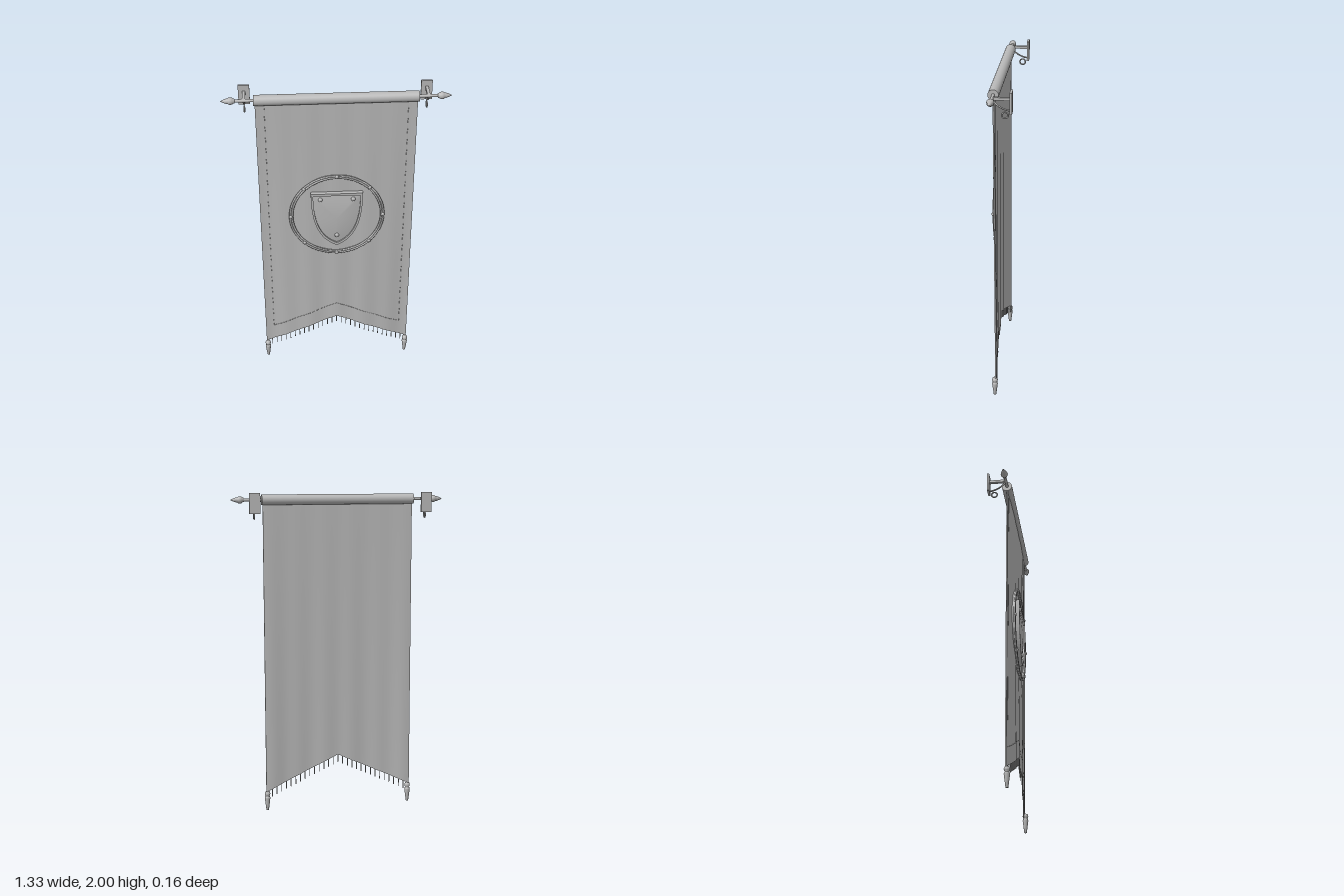
import * as THREE from 'three';

const HALF = 0.468, TOP = 1.95, ROD_Y = 1.957, ROD_Z = 0.031;

export function createModel() {
  const model = new THREE.Group();
  model.name = 'hangingBanner';
  const grey = new THREE.MeshStandardMaterial({ color: 0xb8b8b8 });
  grey.name = 'plainGrey';

  const add = (name, geo, x = 0, y = 0, z = 0, parent = model) => {
    const m = new THREE.Mesh(geo, grey);
    m.name = name;
    m.position.set(x, y, z);
    parent.add(m);
    return m;
  };
  const lathe = (pts, n = 20) => new THREE.LatheGeometry(pts.map(p => new THREE.Vector2(...p)), n);

  // Shape of the cloth: notched lower edge and soft folds
  const bottom = x => 0.12 + 0.215 * (1 - Math.abs(x) / HALF);
  const clothZ = (x, y) => {
    const drop = 1 - y / TOP;
    const side = THREE.MathUtils.smoothstep(Math.abs(x), 0.2, HALF);
    return 0.037 + 0.006 * drop - side * (0.006 + 0.012 * drop)
      + 0.0025 * Math.cos(x * 2 * Math.PI / 0.17) * (0.3 + drop);
  };

  // Cloth
  const cloth = new THREE.BoxGeometry(HALF * 2, 1, 0.008, 72, 24, 1);
  const p = cloth.attributes.position;
  for (let i = 0; i < p.count; i++) {
    const x = p.getX(i), b = bottom(x);
    const y = b + (TOP - b) * (p.getY(i) + 0.5);
    p.setXYZ(i, x, y, p.getZ(i) + clothZ(x, y));
  }
  cloth.computeVertexNormals();
  add('cloth', cloth);

  // Raised seams along the sides and above the notch
  const seam = (name, pts) => add(name, new THREE.TubeGeometry(
    new THREE.CatmullRomCurve3(pts.map(([x, y]) => new THREE.Vector3(x, y, clothZ(x, y) + 0.0035))),
    40, 0.0016, 5));
  for (const s of [-1, 1]) {
    const up = [], along = [];
    for (let i = 0; i <= 20; i++) {
      up.push([s * 0.415, 0.25 + i * 0.083]);
      along.push([s * 0.415 * i / 20, bottom(0.415 * i / 20) + 0.11]);
    }
    seam('sideSeam', up);
    seam('hemSeam', along);
  }

  // Fringe strands
  for (let i = -14; i <= 14; i++) {
    const x = i * 0.0307, y = bottom(x);
    add('fringeStrand', new THREE.CylinderGeometry(0.003, 0.003, 0.056, 6), x, y - 0.022, clothZ(x, y));
  }

  // Corner tassels
  for (const s of [-1, 1]) {
    add('tassel', lathe([[0, 0], [0.008, 0], [0.013, 0.04], [0.018, 0.078], [0.016, 0.086],
      [0.01, 0.09], [0.016, 0.097], [0.018, 0.107], [0.014, 0.119], [0, 0.125]]), s * 0.46, 0, 0.032);
  }

  // Sleeve and rod
  add('sleeve', new THREE.CylinderGeometry(0.0315, 0.0315, 0.95, 32), 0, ROD_Y, ROD_Z).rotation.z = Math.PI / 2;
  add('rod', new THREE.CylinderGeometry(0.0095, 0.0095, 1.2, 16), 0, ROD_Y, ROD_Z).rotation.z = Math.PI / 2;

  for (const s of [-1, 1]) {
    // Pointed finial
    const finial = add('finial', lathe([[0.0095, 0], [0.014, 0.003], [0.014, 0.008], [0.019, 0.014],
      [0.022, 0.024], [0.02, 0.035], [0.014, 0.043], [0.016, 0.046], [0.009, 0.066], [0, 0.084]]),
      s * 0.58, ROD_Y, ROD_Z);
    finial.rotation.z = -s * Math.PI / 2;

    // Wall bracket with brace and hanging ring
    const bracket = new THREE.Group();
    bracket.name = 'wallBracket';
    bracket.position.x = s * 0.53;
    model.add(bracket);
    add('wallPlate', new THREE.BoxGeometry(0.066, 0.122, 0.013), 0, 1.939, -0.0755, bracket);
    add('arm', new THREE.BoxGeometry(0.018, 0.016, 0.1), 0, ROD_Y, -0.022, bracket);
    const brace = new THREE.QuadraticBezierCurve3(
      new THREE.Vector3(0, 1.945, 0.026), new THREE.Vector3(0, 1.897, -0.012), new THREE.Vector3(0, 1.89, -0.07));
    add('brace', new THREE.TubeGeometry(brace, 14, 0.005, 8), 0, 0, 0, bracket);
    add('hangingRing', new THREE.TorusGeometry(0.0175, 0.0045, 8, 24), 0, 1.863, -0.04, bracket)
      .rotation.y = Math.PI / 2;
  }

  // Round emblem frame: two ridges on a flat band, with eight studs
  const emblem = new THREE.Group();
  emblem.name = 'emblem';
  emblem.position.set(0, 1.155, 0);
  model.add(emblem);
  const band = new THREE.Shape().absarc(0, 0, 0.288, 0, Math.PI * 2);
  band.holes.push(new THREE.Path().absarc(0, 0, 0.272, 0, Math.PI * 2, true));
  add('frameBand', new THREE.ExtrudeGeometry(band, { depth: 0.016, bevelEnabled: false, curveSegments: 48 }),
    0, 0, 0.039, emblem);
  for (const r of [0.287, 0.273]) {
    add('frameRidge', new THREE.TorusGeometry(r, 0.006, 8, 72), 0, 0, 0.055, emblem);
  }
  const stud = (x, y, z, r) => {
    add('stud', new THREE.SphereGeometry(r, 14, 10), x, y, z, emblem).scale.z = 0.75;
  };
  for (let i = 0; i < 8; i++) {
    const a = i * Math.PI / 4;
    stud(0.283 * Math.cos(a), 0.283 * Math.sin(a), 0.059, 0.0115);
  }

  // Shield outline, scaled about its own middle
  const outline = (k, Type) => {
    const f = (x, y) => [x * k, (y + 0.01) * k - 0.01];
    const s = new Type();
    s.moveTo(...f(-0.158, 0.168));
    s.bezierCurveTo(...f(-0.158, -0.03), ...f(-0.12, -0.165), ...f(0, -0.219));
    s.bezierCurveTo(...f(0.12, -0.165), ...f(0.158, -0.03), ...f(0.158, 0.168));
    s.closePath();
    return s;
  };
  const flat = { bevelEnabled: false, curveSegments: 20 };
  add('shieldPlate', new THREE.ExtrudeGeometry(outline(0.98, THREE.Shape), { ...flat, depth: 0.02 }),
    0, 0, 0.04, emblem);
  const rim = outline(1, THREE.Shape);
  rim.holes.push(outline(0.91, THREE.Path));
  add('shieldRim', new THREE.ExtrudeGeometry(rim, { ...flat, depth: 0.026 }), 0, 0, 0.044, emblem);

  // Domed shield face made from shrinking outlines
  const edge = outline(0.91, THREE.Shape).getSpacedPoints(64).slice(0, 64);
  const pos = [], idx = [], rings = 8, n = edge.length;
  for (let r = 0; r <= rings; r++) {
    const k = 1 - r / rings;
    for (const e of edge) pos.push(e.x * k, (e.y + 0.01) * k - 0.01, 0.06 + 0.013 * (1 - k * k));
  }
  for (let r = 0; r < rings; r++) {
    for (let i = 0; i < n; i++) {
      const a = r * n + i, b = r * n + (i + 1) % n;
      idx.push(a, b, b + n, a, b + n, a + n);
    }
  }
  const dome = new THREE.BufferGeometry();
  dome.setAttribute('position', new THREE.Float32BufferAttribute(pos, 3));
  dome.setIndex(idx);
  dome.computeVertexNormals();
  add('shieldFace', dome, 0, 0, 0, emblem);
  for (const [x, y] of [[-0.1, 0.125], [0.1, 0.125], [0, -0.142]]) stud(x, y, 0.067, 0.014);

  return model;
}
